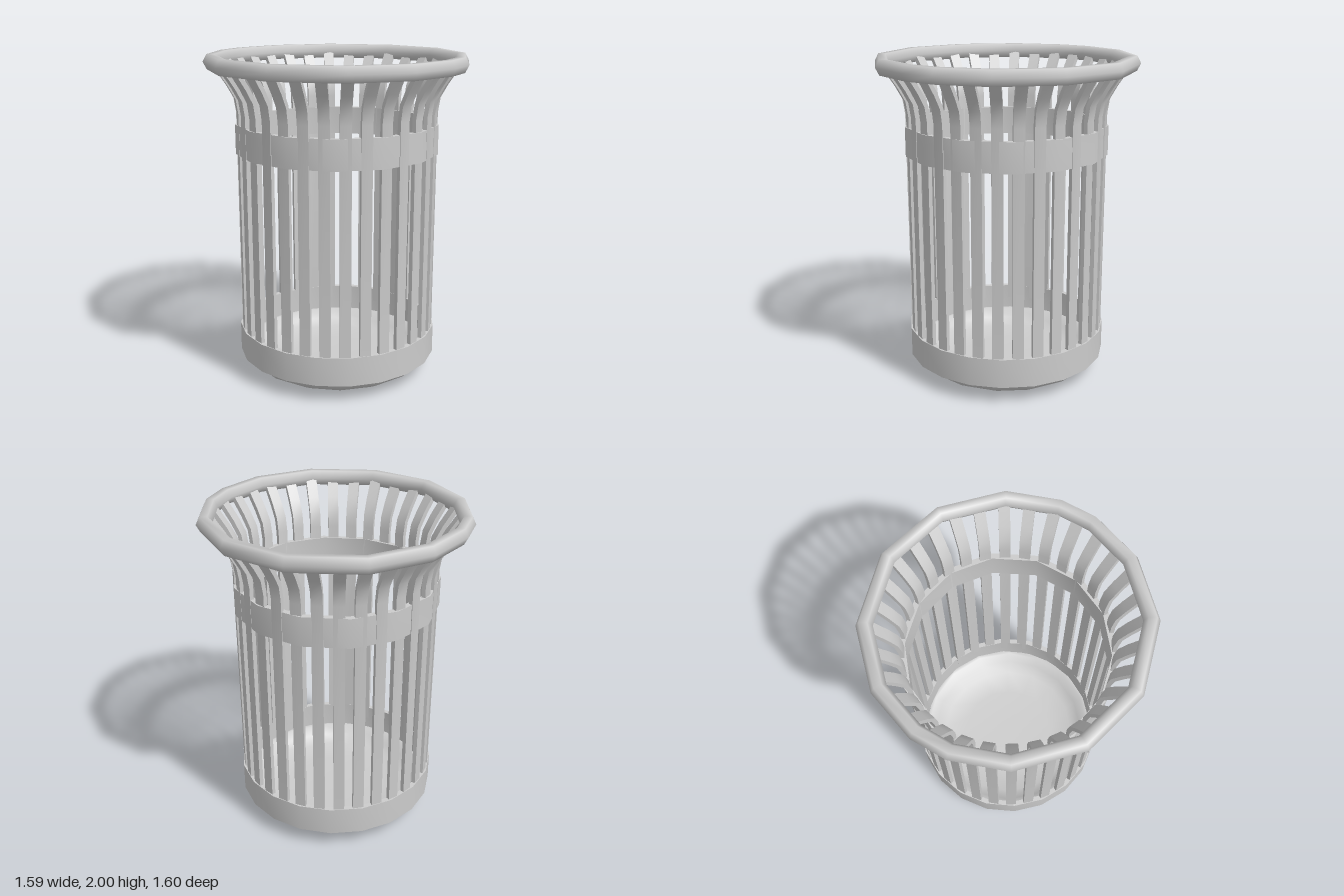
import * as THREE from 'three';
import { toCreasedNormals } from 'three/addons/utils/BufferGeometryUtils.js';

const material = new THREE.MeshStandardMaterial({ color: 0xcccccc, side: THREE.DoubleSide });

function addMesh(parent, name, geometry) {
  const mesh = new THREE.Mesh(geometry, material);
  mesh.name = name;
  parent.add(mesh);
  return mesh;
}

function lathe(profile, sides, crease = 0.6) {
  const points = profile.map(([r, y]) => new THREE.Vector2(r, y));
  return toCreasedNormals(new THREE.LatheGeometry(points, sides), crease);
}

// Flat hoop with a rectangular section
const hoop = (inner, outer, low, high, sides) =>
  lathe([[inner, low], [outer, low], [outer, high], [inner, high], [inner, low]], sides);

// Rim: six-sided tube swept through unevenly spaced corners
function rimGeometry() {
  const half = [-8, 21, 44.5, 60, 83, 111, 142.5];
  const angles = [...half, ...half.map((a) => a + 180)];
  const sides = 6, tube = 0.046, radius = 0.759, height = 1.955;
  const positions = [], index = [];
  angles.forEach((deg, i) => {
    const a = THREE.MathUtils.degToRad(deg);
    for (let j = 0; j < sides; j++) {
      const b = (j / sides) * Math.PI * 2;
      const r = radius + tube * Math.cos(b);
      positions.push(r * Math.cos(a), height + tube * 1.12 * Math.sin(b), r * Math.sin(a));
      const next = (i + 1) % angles.length, k = (j + 1) % sides;
      const p = i * sides + j, q = next * sides + j;
      const s = i * sides + k, t = next * sides + k;
      index.push(p, s, q, s, t, q);
    }
  });
  const geometry = new THREE.BufferGeometry();
  geometry.setAttribute('position', new THREE.Float32BufferAttribute(positions, 3));
  geometry.setIndex(index);
  geometry.computeVertexNormals();
  return geometry;
}

// Slat: upright strip that flares out to meet the rim
function slatGeometry() {
  const outer = [[0.614, 0.2], [0.614, 1.66], [0.628, 1.75], [0.672, 1.83], [0.745, 1.94]];
  const inner = [[0.722, 1.955], [0.648, 1.845], [0.603, 1.76], [0.589, 1.67], [0.589, 0.2]];
  const shape = new THREE.Shape([...outer, ...inner].map(([r, y]) => new THREE.Vector2(r, y)));
  const width = 0.066;
  const geometry = new THREE.ExtrudeGeometry(shape, { depth: width, bevelEnabled: false });
  geometry.translate(0, 0, -width / 2);
  return toCreasedNormals(geometry, 0.7);
}

export function createModel() {
  const basket = new THREE.Group();
  basket.name = 'wasteBasket';

  addMesh(basket, 'rim', rimGeometry());
  addMesh(basket, 'upperBand', hoop(0.59, 0.626, 1.41, 1.59, 14));
  addMesh(basket, 'lowerBand', hoop(0.594, 0.626, 0.11, 0.29, 20));

  // Shallow dished base
  addMesh(basket, 'base', lathe([
    [0, 0], [0.3, 0.002], [0.48, 0.012], [0.555, 0.055], [0.59, 0.1], [0.6, 0.125],
    [0.575, 0.125], [0.53, 0.075], [0.46, 0.035], [0.3, 0.022], [0, 0.02],
  ], 16, 0.9));

  // Ring of slats
  const slats = new THREE.Group();
  slats.name = 'slats';
  basket.add(slats);
  const slat = slatGeometry();
  const count = 32;
  for (let i = 0; i < count; i++) {
    addMesh(slats, 'slat', slat).rotation.y = ((i + 0.2) / count) * Math.PI * 2;
  }
  return basket;
}
